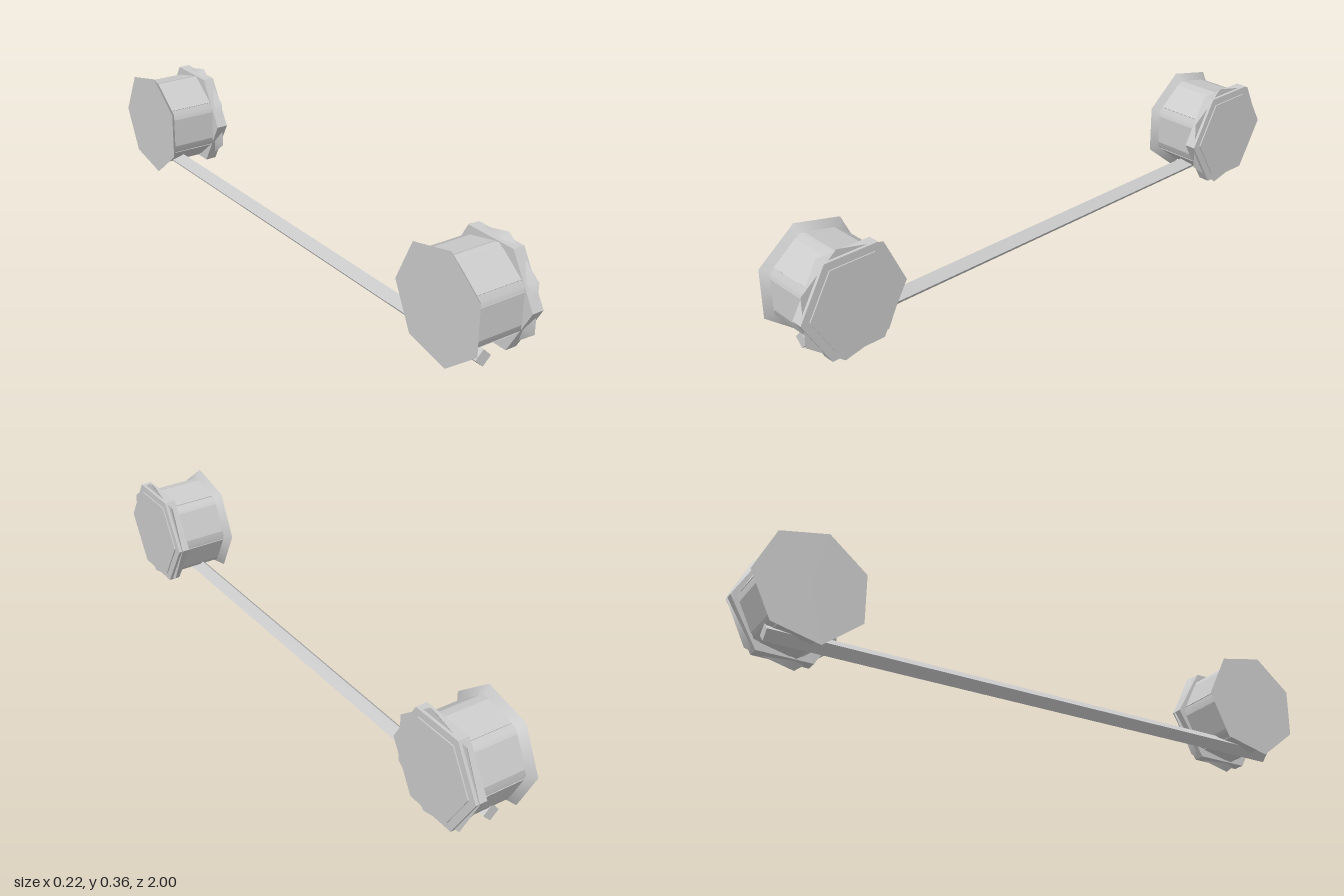
import * as THREE from 'three';

const R_RIM = 0.1846, R_BODY = 0.158, R_HEX = 0.181;

export function createModel() {
  const model = new THREE.Group();
  model.name = 'barAndWheels';
  const grey = new THREE.MeshStandardMaterial({ color: 0xcccccc });
  grey.name = 'light grey';

  // prism along x, from x0 (radius r0) to x1 (radius r1), one corner towards -z
  function prism(name, sides, x0, r0, x1, r1, flat = false) {
    let geo = new THREE.CylinderGeometry(r1, r0, x1 - x0, sides, 1, false, Math.PI);
    geo.rotateZ(-Math.PI / 2);
    geo.translate((x0 + x1) / 2, 0, 0);
    if (flat) {
      geo = geo.toNonIndexed();
      geo.computeVertexNormals();
    }
    const mesh = new THREE.Mesh(geo, grey);
    mesh.name = name;
    return mesh;
  }

  function createWheel(name) {
    const wheel = new THREE.Group();
    wheel.name = name;
    wheel.add(
      prism('drum', 7, -0.09, R_BODY, 0.075, R_BODY),
      prism('outerRim', 7, -0.11, R_RIM, -0.09, R_BODY),
      prism('innerRim', 7, 0.075, R_BODY, 0.095, R_RIM),
      prism('hexCap', 6, 0.066, R_HEX, 0.105, R_HEX, true),
      prism('capPlate', 6, 0.105, 0.153, 0.109, 0.153, true)
    );
    // flat panel on each face of the drum
    const apothem = R_BODY * Math.cos(Math.PI / 7);
    for (let k = 0; k < 7; k++) {
      const geo = new THREE.BoxGeometry(0.157, 0.1, 0.004);
      geo.translate(-0.0115, 0, apothem);
      geo.rotateX((k * 2 * Math.PI) / 7);
      const panel = new THREE.Mesh(geo, grey);
      panel.name = 'drumPanel';
      wheel.add(panel);
    }
    return wheel;
  }

  const front = createWheel('frontWheel');
  front.position.set(0, 0.181, 0.819);
  const back = createWheel('backWheel');
  back.position.set(0, 0.181, -0.8154);
  model.add(front, back);

  // square bar standing on its edge
  const side = 0.028 * Math.SQRT2;
  const bar = new THREE.Mesh(new THREE.BoxGeometry(side, side, 1.84), grey);
  bar.name = 'connectingBar';
  bar.rotation.z = Math.PI / 4;
  bar.position.set(-0.028, 0.039, 0.002);
  model.add(bar);

  return model;
}
